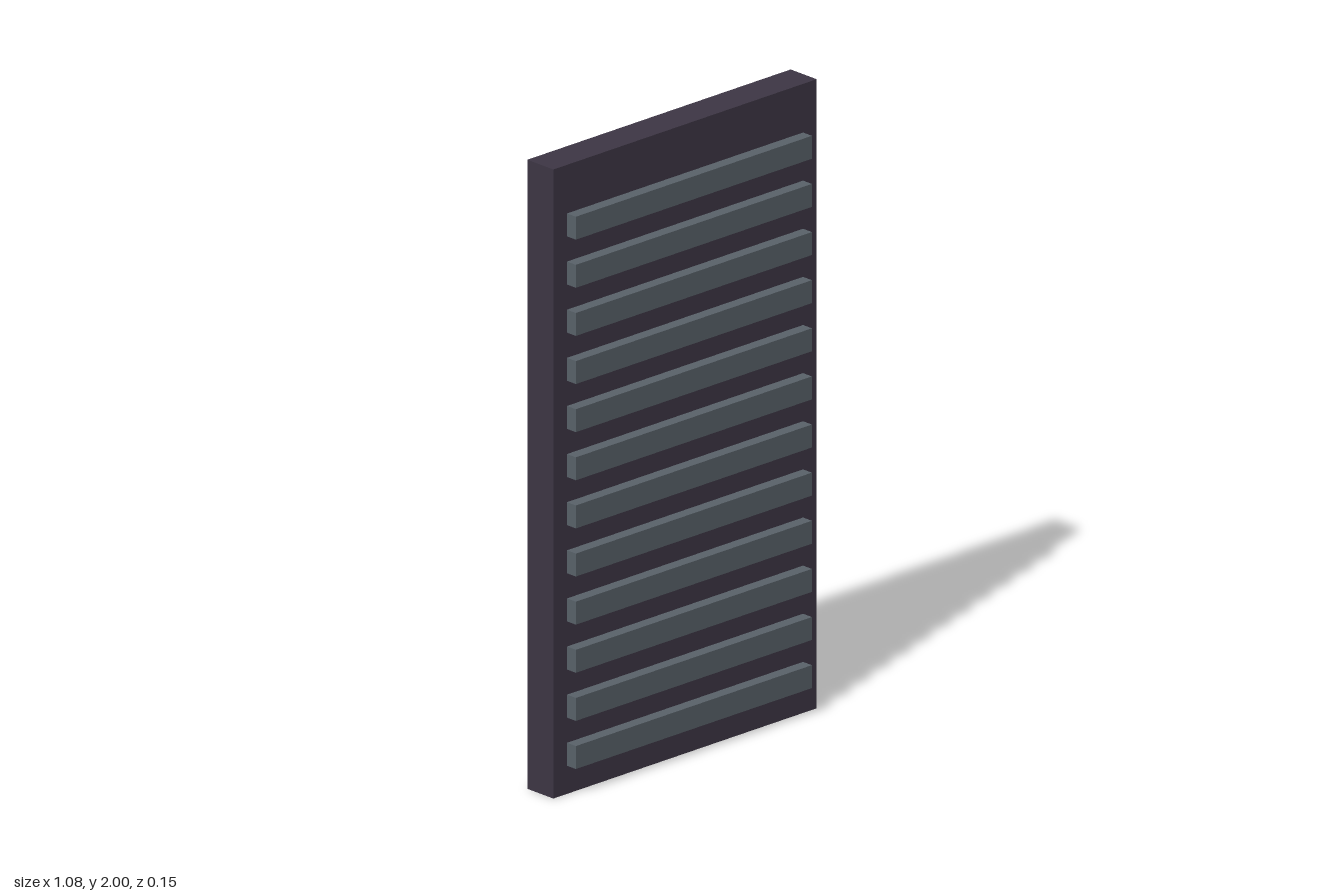
import * as THREE from 'three';

export function createModel() {
  const group = new THREE.Group();
  const panelMaterial = new THREE.MeshStandardMaterial({ color: 0x3d3645 });
  panelMaterial.name = 'dark plum';
  const slatMaterial = new THREE.MeshStandardMaterial({ color: 0x59626a });
  slatMaterial.name = 'slate grey';

  // Flat backing panel
  const panel = new THREE.Mesh(new THREE.BoxGeometry(1.082, 2, 0.112), panelMaterial);
  panel.name = 'panel';
  panel.position.set(0, 1, -0.019);
  group.add(panel);

  // Evenly spaced horizontal slats on the front
  const slats = new THREE.Group();
  slats.name = 'slats';
  const count = 12, firstY = 0.126, lastY = 1.809;
  const slatGeometry = new THREE.BoxGeometry(0.97, 0.073, 0.038);
  for (let i = 0; i < count; i++) {
    const slat = new THREE.Mesh(slatGeometry, slatMaterial);
    slat.name = `slat${i + 1}`;
    slat.position.set(0, firstY + ((lastY - firstY) * i) / (count - 1), 0.056);
    slats.add(slat);
  }
  group.add(slats);
  return group;
}
